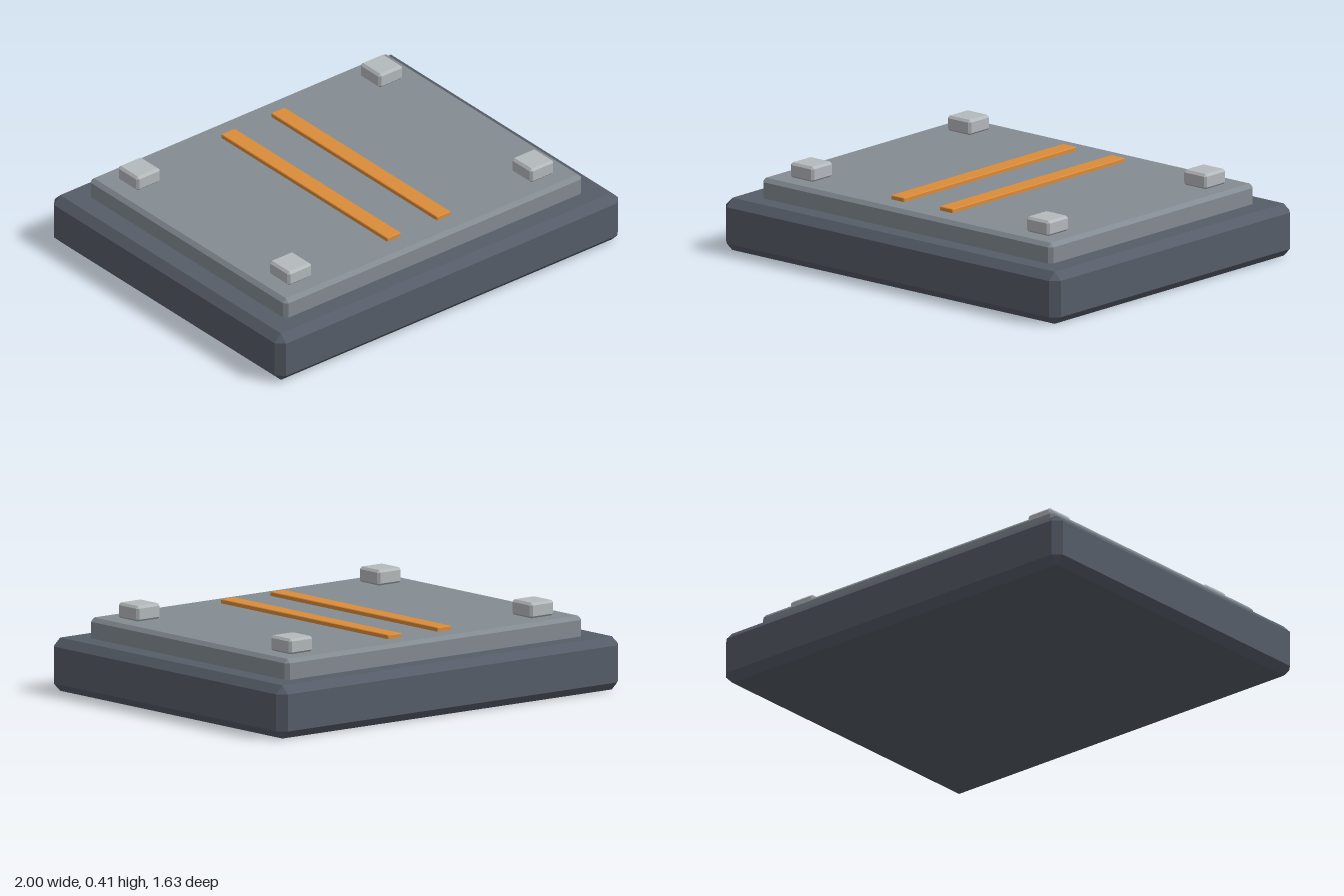
import * as THREE from 'three';
import { ConvexGeometry } from 'three/addons/geometries/ConvexGeometry.js';

// Box with every edge cut by a flat chamfer c, standing between y0 and y1
function chamferedBox(width, y0, y1, depth, c) {
  const h = new THREE.Vector3(width / 2, (y1 - y0) / 2, depth / 2);
  const points = [];
  for (const sx of [-1, 1]) for (const sy of [-1, 1]) for (const sz of [-1, 1]) {
    for (const axis of ['x', 'y', 'z']) {
      // full reach along one axis, pulled in along the other two
      const p = h.clone().subScalar(c);
      p[axis] += c;
      points.push(p.multiply(new THREE.Vector3(sx, sy, sz)));
    }
  }
  return new ConvexGeometry(points).translate(0, (y0 + y1) / 2, 0);
}

export function createModel() {
  const group = new THREE.Group();
  const paint = (color) => new THREE.MeshStandardMaterial({ color, flatShading: true });
  const baseMat = paint(0x565d68);
  const plateMat = paint(0x848c93);
  const padMat = paint(0xb4b9bd);
  const stripMat = paint(0xdb8c3a);

  const add = (name, geometry, material, x = 0, z = 0) => {
    const mesh = new THREE.Mesh(geometry, material);
    mesh.name = name;
    mesh.position.set(x, 0, z);
    group.add(mesh);
  };

  // Heavy base slab and the raised plate on it
  add('base', chamferedBox(2, 0, 0.243, 1.635, 0.037), baseMat);
  add('topPlate', chamferedBox(1.735, 0.2, 0.336, 1.393, 0.018), plateMat);

  // Two coloured strips and four corner pads
  const strip = chamferedBox(0.08, 0.325, 0.355, 1.175, 0.003);
  const pad = chamferedBox(0.138, 0.334, 0.406, 0.142, 0.011);
  for (const [side, sx] of [['left', 1], ['right', -1]]) {
    add(`${side}Strip`, strip, stripMat, sx * 0.145);
    for (const [end, sz] of [['Front', 1], ['Back', -1]]) {
      add(`${side}${end}Pad`, pad, padMat, sx * 0.705, sz * 0.535);
    }
  }
  return group;
}
